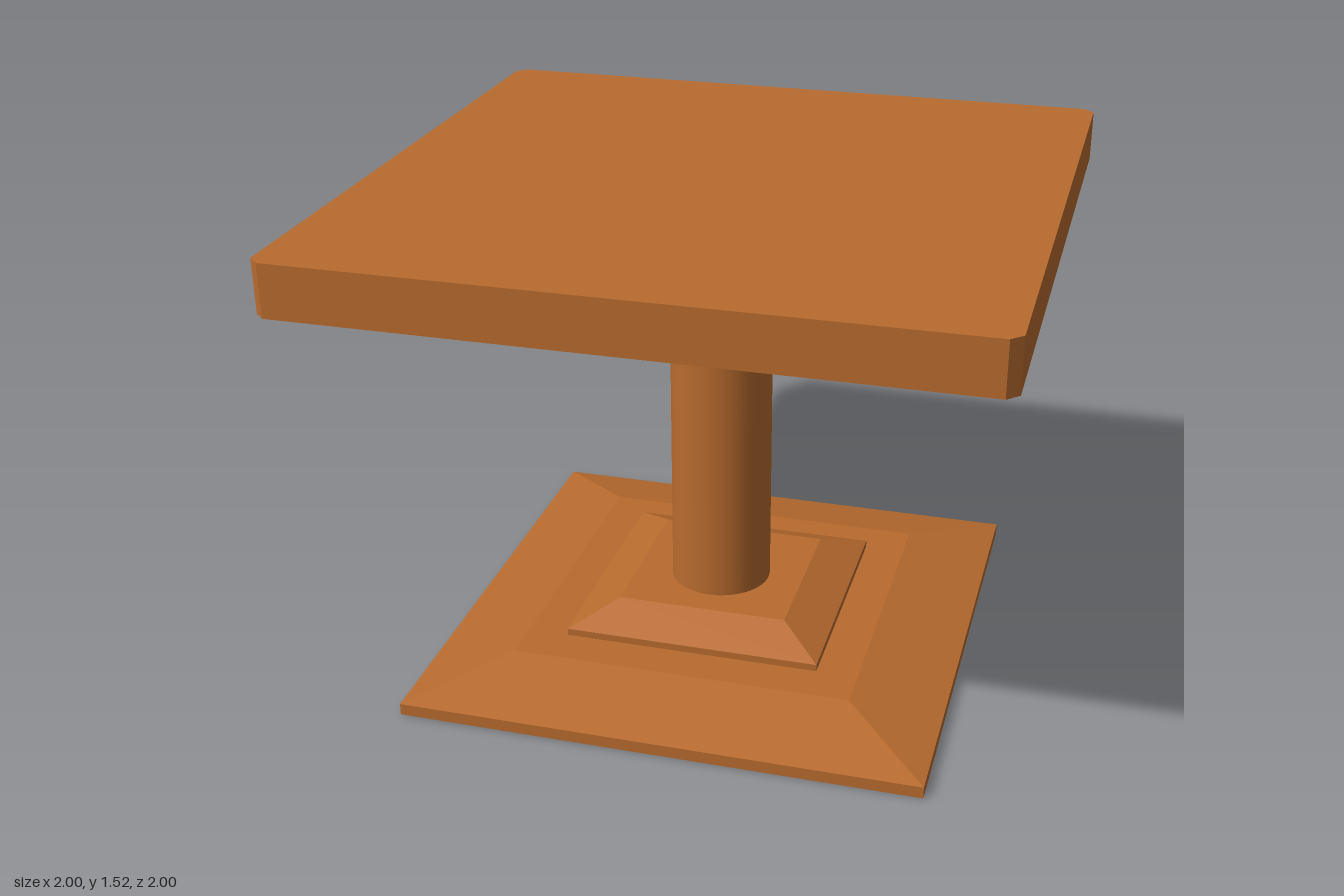
import * as THREE from 'three';

const wood = new THREE.MeshStandardMaterial({ color: 0xb86b2e, side: THREE.DoubleSide });
wood.name = 'warm wood';

// Square shell, open below: a short upright rim, a sloped skirt and a flat top
function steppedPlinth(name, halfBottom, halfTop, y0, y1, y2) {
  const r = Math.SQRT2;
  const profile = [[halfBottom * r, y0], [halfBottom * r, y1], [halfTop * r, y2], [0, y2]]
    .map(([x, y]) => new THREE.Vector2(x, y));
  const geometry = new THREE.LatheGeometry(profile, 4, Math.PI / 4).toNonIndexed();
  geometry.computeVertexNormals();
  const mesh = new THREE.Mesh(geometry, wood);
  mesh.name = name;
  mesh.position.set(0.003, 0, -0.033);
  return mesh;
}

// Square slab with clipped corners
function tableTop(half, clip, bottom, top) {
  const c = half - clip;
  const outline = [[c, -half], [half, -c], [half, c], [c, half], [-c, half], [-half, c], [-half, -c], [-c, -half]];
  const shape = new THREE.Shape(outline.map(([x, y]) => new THREE.Vector2(x, y)));
  const geometry = new THREE.ExtrudeGeometry(shape, { depth: top - bottom, bevelEnabled: false });
  geometry.rotateX(-Math.PI / 2);
  const mesh = new THREE.Mesh(geometry, wood);
  mesh.name = 'tableTop';
  mesh.position.y = bottom;
  return mesh;
}

export function createModel() {
  const table = new THREE.Group();
  table.name = 'pedestalTable';

  // Foot in two tiers
  table.add(steppedPlinth('lowerFoot', 0.794, 0.524, 0, 0.037, 0.105));
  table.add(steppedPlinth('upperFoot', 0.397, 0.265, 0.105, 0.127, 0.186));

  // Round column from the foot to the underside of the top
  const bottom = 0.106, top = 1.364;
  const column = new THREE.Mesh(new THREE.CylinderGeometry(0.157, 0.157, top - bottom, 32, 1, true), wood);
  column.name = 'column';
  column.position.set(0.002, (top + bottom) / 2, -0.012);
  table.add(column);

  table.add(tableTop(1, 0.032, 1.363, 1.518));
  return table;
}
